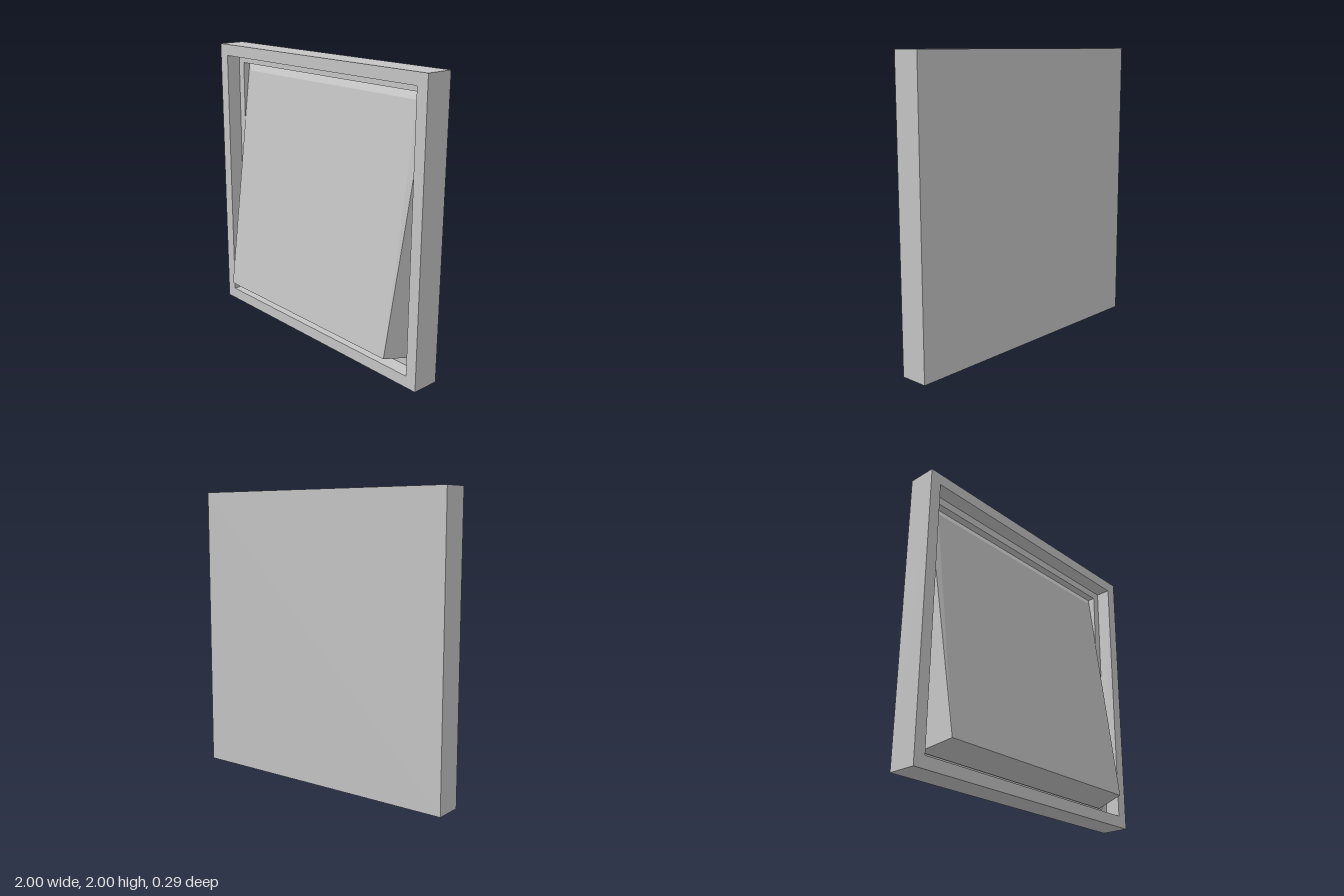
import * as THREE from 'three';
import { ConvexGeometry } from 'three/addons/geometries/ConvexGeometry.js';

const BACK = -0.145, FRONT = 0.05, LEDGE = -0.055, POCKET = -0.11;

// Square plate with a stepped recess: a four-sided lathe of half-width / depth points
function frameGeometry() {
  const profile = [
    [0, BACK], [1, BACK], [1, FRONT], [0.92, FRONT],
    [0.92, LEDGE], [0.865, LEDGE], [0.865, POCKET], [0, POCKET],
  ].map(([half, z]) => new THREE.Vector2(half * Math.SQRT2, z));
  const lathe = new THREE.LatheGeometry(profile, 4, Math.PI / 4);
  lathe.rotateX(Math.PI / 2);
  const flat = lathe.toNonIndexed();
  flat.computeVertexNormals();
  return flat;
}

// Rocker: upright base with a smaller, tilted front face
function rockerGeometry() {
  const points = [];
  for (const sx of [-1, 1]) {
    for (const sy of [-1, 1]) {
      points.push(new THREE.Vector3(sx * 0.865, sy * 0.865, POCKET));
      points.push(new THREE.Vector3(sx * 0.81, sy * 0.81, sy < 0 ? 0.145 : -0.083));
    }
  }
  return new ConvexGeometry(points);
}

export function createModel() {
  const plastic = new THREE.MeshStandardMaterial({ color: 0xc4c4c4 });
  plastic.name = 'greyPlastic';

  const group = new THREE.Group();
  group.name = 'rockerSwitch';
  const add = (name, geometry) => {
    const mesh = new THREE.Mesh(geometry, plastic);
    mesh.name = name;
    mesh.position.y = 1;
    group.add(mesh);
  };
  add('frame', frameGeometry());
  add('rocker', rockerGeometry());
  return group;
}
